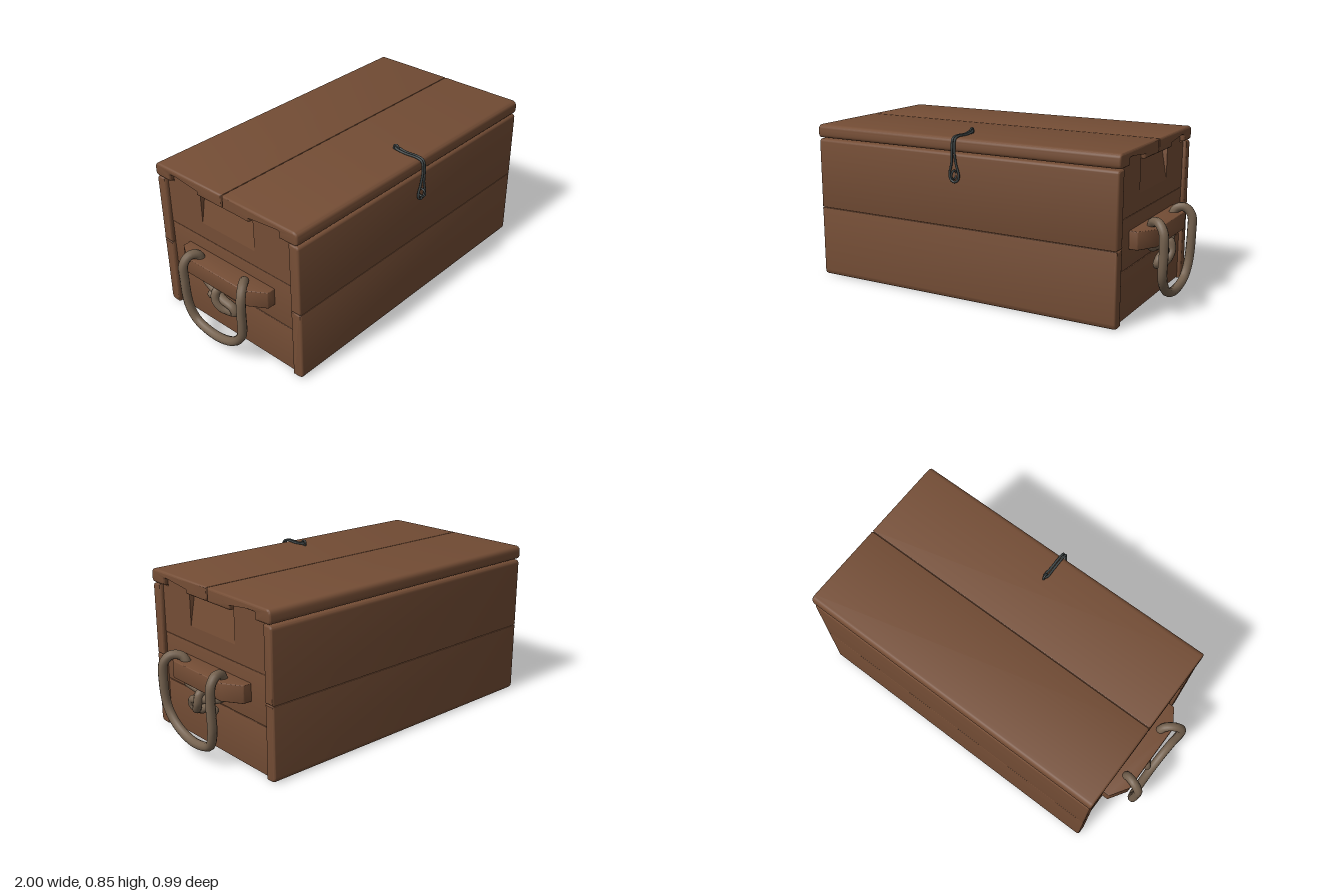
import * as THREE from 'three';
import { toCreasedNormals } from 'three/addons/utils/BufferGeometryUtils.js';

const wood = new THREE.MeshStandardMaterial({ color: 0x744d35 });
wood.name = 'brown wood';
const rope = new THREE.MeshStandardMaterial({ color: 0x75624f });
rope.name = 'hemp rope';
const iron = new THREE.MeshStandardMaterial({ color: 0x3c4344 });
iron.name = 'dark iron';

function add(parent, name, geometry, material) {
  const mesh = new THREE.Mesh(geometry, material);
  mesh.name = name;
  parent.add(mesh);
  return mesh;
}

// Polygon from [x, y, cornerRadius] points
function roundedShape(points) {
  const shape = new THREE.Shape();
  const n = points.length;
  points.forEach(([x, y, r = 0], i) => {
    const p = new THREE.Vector2(x, y);
    const toward = (q) => new THREE.Vector2(q[0], q[1]).sub(p).setLength(r).add(p);
    const a = toward(points[(i + n - 1) % n]);
    const b = toward(points[(i + 1) % n]);
    if (i === 0) shape.moveTo(a.x, a.y); else shape.lineTo(a.x, a.y);
    if (r > 0) shape.quadraticCurveTo(p.x, p.y, b.x, b.y);
  });
  shape.closePath();
  return shape;
}

function extrude(points, depth, bevel) {
  const geometry = new THREE.ExtrudeGeometry(roundedShape(points), {
    depth: depth - 2 * bevel, curveSegments: 6, bevelEnabled: bevel > 0,
    bevelThickness: bevel, bevelSize: bevel, bevelOffset: -bevel, bevelSegments: 3,
  });
  geometry.translate(0, 0, bevel - depth / 2);
  return toCreasedNormals(geometry, 0.6);
}

// Extrudes a [z, y, radius] cross-section along x between x0 and x1
function alongX(points, x0, x1, bevel = 0) {
  const g = extrude(points.map(([z, y, r]) => [-z, y, r]), Math.abs(x1 - x0), bevel);
  return g.rotateY(Math.PI / 2).translate((x0 + x1) / 2, 0, 0);
}

const rect = (z0, z1, y0, y1, r = 0.004) => [[z0, y0, r], [z1, y0, r], [z1, y1, r], [z0, y1, r]];

function tube(points, radius, closed = false) {
  const curve = new THREE.CatmullRomCurve3(points.map((p) => new THREE.Vector3(...p)), closed);
  return new THREE.TubeGeometry(curve, points.length * 6, radius, 10, closed);
}

function buildWalls(group) {
  // Front and back planks, rounded on the outer edges
  for (const [name, inner, outer] of [['front', 0.393, 0.455], ['back', -0.432, -0.49]]) {
    add(group, name + 'LowerPlank', alongX(
      [[inner, 0, 0.004], [outer, 0, 0.028], [outer, 0.374, 0.003], [inner, 0.374, 0.003]], -0.85, 0.85, 0.01), wood);
    add(group, name + 'UpperPlank', alongX(
      [[inner, 0.376, 0.003], [outer, 0.376, 0.003], [outer, 0.745, 0.022], [inner, 0.745, 0.004]], -0.85, 0.85, 0.01), wood);
  }
  add(group, 'floor', alongX(rect(0.39, -0.43, 0.014, 0.05), -0.775, 0.775), wood);

  // End planks; the top one has two tabs and a sloped finger recess
  for (const s of [1, -1]) {
    const end = new THREE.Group();
    end.name = s > 0 ? 'leftEnd' : 'rightEnd';
    group.add(end);
    const x0 = s * 0.77, x1 = s * 0.832;
    add(end, 'lowerEndPlank', alongX(rect(0.39, -0.43, 0.006, 0.249), x0, x1, 0.003), wood);
    add(end, 'middleEndPlank', alongX(rect(0.39, -0.43, 0.251, 0.499), x0, x1, 0.003), wood);
    add(end, 'tabbedEndPlank', alongX([
      [0.39, 0.501], [0.39, 0.744, 0.004], [0.343, 0.744], [0.343, 0.783, 0.01], [0.158, 0.783, 0.01],
      [0.158, 0.585], [-0.197, 0.585], [-0.197, 0.783, 0.01], [-0.382, 0.783, 0.01], [-0.382, 0.744],
      [-0.43, 0.744, 0.004], [-0.43, 0.501],
    ], x0, x1), wood);
    const wedge = extrude([[x0, 0.585], [x1, 0.585], [s * 0.803, 0.744], [x0, 0.744]], 0.355, 0);
    add(end, 'fingerRecess', wedge.translate(0, 0, -0.0195), wood);
  }
}

function buildLid(group) {
  // Two lid planks with grooves that sit over the end tabs
  const planks = [['lidFrontPlank', 0.455, -0.019, 0.345, 0.155], ['lidBackPlank', -0.49, -0.021, -0.385, -0.195]];
  for (const [name, outer, seam, g0, g1] of planks) {
    add(group, name, alongX([
      [outer, 0.75, 0.022], [outer, 0.82, 0.03], [seam, 0.82, 0.005], [seam, 0.75, 0.005],
      [g1, 0.75, 0.004], [g1, 0.786, 0.008], [g0, 0.786, 0.008], [g0, 0.75, 0.004],
    ], -0.855, 0.855, 0.01), wood);
  }
}

function buildHandle(group, s) {
  const handle = new THREE.Group();
  handle.name = s > 0 ? 'leftHandle' : 'rightHandle';
  group.add(handle);

  // Tapered wooden cleat
  const outline = [[0.825, -0.31], [0.875, -0.31], [0.935, -0.215], [0.935, 0.175], [0.875, 0.275], [0.825, 0.275]];
  const cleat = extrude(outline.map(([x, z]) => [s * x, -z, 0.004]), 0.09, 0.004);
  add(handle, 'cleat', cleat.rotateX(-Math.PI / 2).translate(0, 0.385, 0), wood);

  // Rope: hanging loop through the cleat, then two strands tied in a knot
  const side = (pts) => pts.map(([x, y, z]) => [s * x, y, z]);
  const loop = [
    [0.885, 0.35, 0.135], [0.885, 0.42, 0.13], [0.9, 0.452, 0.15], [0.94, 0.457, 0.18], [0.971, 0.42, 0.2],
    [0.977, 0.33, 0.202], [0.97, 0.2, 0.188], [0.964, 0.125, 0.13], [0.96, 0.083, 0.045], [0.96, 0.075, -0.05],
    [0.962, 0.105, -0.15], [0.97, 0.18, -0.188], [0.977, 0.33, -0.195], [0.972, 0.42, -0.196],
    [0.94, 0.456, -0.188], [0.9, 0.45, -0.175], [0.885, 0.42, -0.17], [0.885, 0.35, -0.165],
  ];
  const knotA = [
    [0.885, 0.36, -0.167], [0.887, 0.323, -0.15], [0.9, 0.3, -0.08], [0.912, 0.275, 0], [0.907, 0.255, 0.06],
    [0.9, 0.225, 0.07], [0.89, 0.212, 0.03], [0.882, 0.235, -0.03], [0.895, 0.247, -0.1],
  ];
  const knotB = [
    [0.885, 0.36, 0.138], [0.887, 0.325, 0.125], [0.885, 0.312, 0.07], [0.874, 0.3, 0.01], [0.89, 0.325, -0.02],
    [0.925, 0.318, -0.028], [0.935, 0.275, -0.025], [0.925, 0.235, 0], [0.9, 0.213, 0.04],
  ];
  add(handle, 'ropeLoop', tube(side(loop), 0.023), rope);
  [knotA, knotB].forEach((path, i) => {
    add(handle, 'knotStrand' + (i + 1), tube(side(path), 0.022), rope);
    const [x, y, z] = path[path.length - 1];
    add(handle, 'ropeEnd' + (i + 1), new THREE.SphereGeometry(0.022, 10, 8).translate(s * x, y, z), rope);
  });
}

function buildLatch(group) {
  const latch = new THREE.Group();
  latch.name = 'latch';
  group.add(latch);
  // Bent wire loop from the lid over the front edge
  const half = [
    [0.02, 0.617, 0.469], [0.026, 0.642, 0.47], [0.012, 0.7, 0.473], [0.007, 0.775, 0.477],
    [0.007, 0.817, 0.468], [0.007, 0.827, 0.44], [0.007, 0.825, 0.36], [0.008, 0.831, 0.312],
  ];
  const mirrored = half.map(([x, y, z]) => [-x, y, z]).reverse();
  add(latch, 'hasp', tube([[0, 0.606, 0.469], ...half, [0, 0.833, 0.3], ...mirrored], 0.006, true), iron);
  // Staples holding the loop
  const ring = (name, r, y, z) => add(latch, name,
    new THREE.TorusGeometry(r, 0.005, 8, 20).rotateY(Math.PI / 2).translate(0, y, z), iron);
  ring('frontStaple', 0.021, 0.642, 0.471);
  ring('lidStaple', 0.015, 0.832, 0.305);
}

export function createModel() {
  const chest = new THREE.Group();
  chest.name = 'chest';
  buildWalls(chest);
  buildLid(chest);
  buildHandle(chest, 1);
  buildHandle(chest, -1);
  buildLatch(chest);
  return chest;
}
